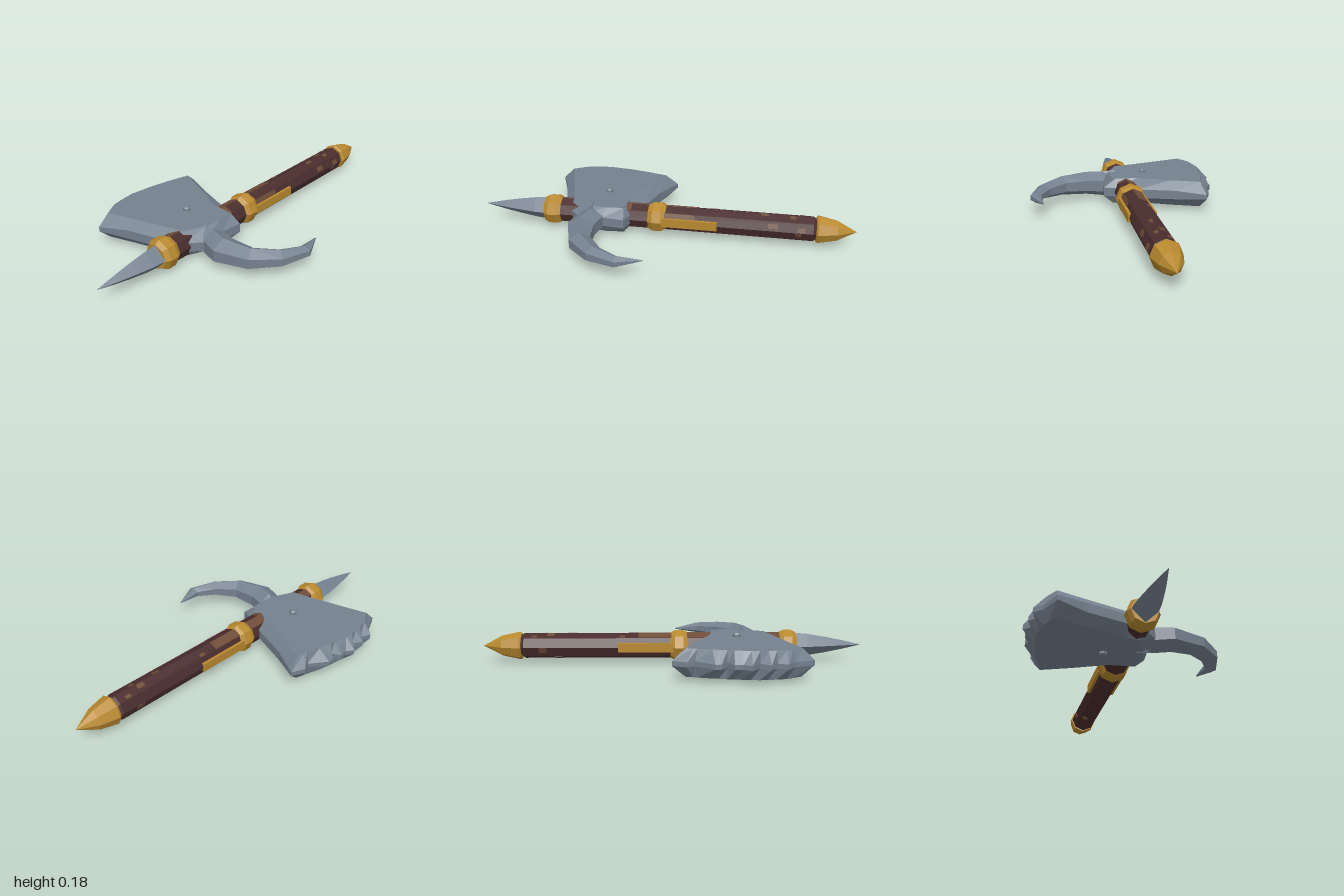
import * as THREE from 'three';

const AX = -0.01, AY = 0.095; // handle axis, running along z

const mat = (name, color) => {
  const m = new THREE.MeshStandardMaterial({ color });
  m.name = name;
  return m;
};

// split the faces so that every facet is flat
function faceted(geo) {
  const g = geo.index ? geo.toNonIndexed() : geo;
  g.computeVertexNormals();
  return g;
}

// skin through equal-length rings, closed by the given cap triangles
function loft(rings, cap) {
  const n = rings[0].length, last = (rings.length - 1) * n, index = [];
  for (let r = 0; r < rings.length - 1; r++) {
    for (let i = 0; i < n; i++) {
      const a = r * n + i, b = r * n + (i + 1) % n;
      index.push(a, b, b + n, a, b + n, a + n);
    }
  }
  for (const [a, b, c] of cap(rings)) {
    index.push(a + last, b + last, c + last);
  }
  for (const [a, b, c] of cap([rings[0]])) index.push(a, c, b);
  const g = new THREE.BufferGeometry();
  g.setAttribute('position', new THREE.Float32BufferAttribute(rings.flat(2), 3));
  g.setIndex(index);
  return faceted(g);
}

// turned part along the handle axis; profile is [radius, z] from back to front
function turned(profile, sides) {
  const g = new THREE.LatheGeometry(profile.map(p => new THREE.Vector2(...p)), sides);
  g.rotateX(Math.PI / 2);
  return faceted(g).translate(AX, AY, 0);
}

export function createModel() {
  const model = new THREE.Group();
  model.name = 'battleAxe';
  const steel = mat('steel', 0x75818f);
  const gold = mat('gold', 0xb8892f);
  const wood = mat('dark wood', 0x4a2d2d);
  const worn = mat('worn wood', 0x6e4c38);
  const add = (name, geo, material) => {
    const mesh = new THREE.Mesh(geo, material);
    mesh.name = name;
    model.add(mesh);
    return mesh;
  };

  // handle, pommel, collars and front spike
  add('handle', turned([[0, -0.81], [0.055, -0.81], [0.056, -0.795], [0.067, -0.78], [0.067, 0.62], [0, 0.62]], 8), wood);
  add('pommel', turned([[0, -1], [0.054, -0.9], [0.075, -0.805], [0.068, -0.795], [0, -0.795]], 8), gold);
  for (const [name, z] of [['rearCollar', 0.035], ['frontCollar', 0.605]]) {
    add(name, turned([[0, z - 0.048], [0.067, z - 0.048], [0.081, z - 0.024],
      [0.081, z + 0.02], [0.067, z + 0.045], [0, z + 0.045]], 8), gold);
  }
  add('frontSpike', turned([[0, 0.63], [0.064, 0.65], [0.059, 0.71], [0.044, 0.8], [0.026, 0.89], [0, 1]], 4), steel);

  // gold strips on both sides of the grip
  for (const s of [-1, 1]) {
    const strip = add(s > 0 ? 'leftStrip' : 'rightStrip', new THREE.BoxGeometry(0.024, 0.046, 0.29), gold);
    strip.position.set(AX + s * 0.061, AY, -0.142);
  }

  // worn patches: facet number, offset across facet, width, z start, z end
  const patches = [
    [2, 0, 0.05, -0.18, 0.0], [2, 0, 0.05, 0.07, 0.21], [2, 0, 0.05, 0.48, 0.57],
    [0, -0.012, 0.026, -0.17, 0.0], [1, 0, 0.05, 0.17, 0.21],
    [2, -0.01, 0.02, -0.74, -0.71], [2, 0.008, 0.026, -0.66, -0.62], [2, -0.013, 0.018, -0.28, -0.25],
    [1, -0.008, 0.022, -0.69, -0.66], [1, -0.016, 0.018, -0.55, -0.51],
    [0, 0, 0.026, -0.6, -0.55], [0, 0.01, 0.024, -0.74, -0.7], [7, -0.012, 0.024, -0.72, -0.69],
    [5, 0, 0.03, -0.62, -0.58], [4, 0.01, 0.024, -0.7, -0.66],
  ];
  for (const [k, t, w, z0, z1] of patches) {
    const a = (k + 0.5) * Math.PI / 4, r = 0.0625;
    const p = add('wornPatch', new THREE.BoxGeometry(w, 0.004, z1 - z0), worn);
    p.position.set(AX + r * Math.cos(a) + t * Math.sin(a), AY + r * Math.sin(a) - t * Math.cos(a), (z0 + z1) / 2);
    p.rotation.z = a - Math.PI / 2;
  }

  // axe blade: outer x, z and inner x, z; the first 15 rows form the chipped edge
  const outline = [
    [-0.42, -0.01, -0.40, 0.055], [-0.45, 0.06, -0.41, 0.09], [-0.43, 0.10, -0.415, 0.11],
    [-0.495, 0.19, -0.435, 0.18], [-0.495, 0.22, -0.44, 0.21], [-0.46, 0.25, -0.45, 0.25],
    [-0.505, 0.28, -0.455, 0.28], [-0.50, 0.32, -0.46, 0.32], [-0.525, 0.36, -0.465, 0.36],
    [-0.48, 0.40, -0.47, 0.40], [-0.51, 0.45, -0.465, 0.44], [-0.475, 0.48, -0.46, 0.48],
    [-0.50, 0.53, -0.45, 0.53], [-0.455, 0.57, -0.435, 0.56], [-0.41, 0.67, -0.405, 0.61],
    [-0.265, 0.61, -0.265, 0.565], [-0.06, 0.55, -0.06, 0.503], [0.03, 0.51, 0.01, 0.485],
    [0.10, 0.44, 0.055, 0.38], [0.10, 0.31, 0.07, 0.30], [0.113, 0.195, 0.06, 0.205],
    [0.05, 0.175, 0.045, 0.206], [-0.06, 0.125, -0.075, 0.195], [-0.265, 0.06, -0.25, 0.115],
  ];
  const bladeRing = (s, outer) => outline.map(([ox, oz, ix, iz], i) => outer
    ? [ox, AY + s * (i < 15 ? 0.012 : 0.024), oz]
    : [ix, AY + s * 0.07, iz]);
  const bladeCap = rings => THREE.ShapeUtils.triangulateShape(
    rings[0].map((_, i) => new THREE.Vector2(outline[i][2], -outline[i][3])), []);
  add('blade', loft([bladeRing(-1, false), bladeRing(-1, true), bladeRing(1, true), bladeRing(1, false)], bladeCap), steel);

  // curved back hook: inner x, z, outer x, z, half height
  const hook = [
    [0.025, 0.35, 0.025, 0.39, 0.076], [0.10, 0.31, 0.10, 0.44, 0.071],
    [0.19, 0.33, 0.19, 0.47, 0.066], [0.31, 0.32, 0.36, 0.415, 0.055],
    [0.405, 0.245, 0.47, 0.30, 0.043], [0.46, 0.15, 0.52, 0.15, 0.03],
    [0.455, 0.025, 0.46, 0.023, 0.003],
  ].map(([ix, iz, ox, oz, h]) => {
    const e = h * 0.45, mx = (ix + ox) / 2, mz = (iz + oz) / 2;
    return [[ix, AY - e, iz], [ix, AY + e, iz], [mx, AY + h, mz],
      [ox, AY + e, oz], [ox, AY - e, oz], [mx, AY - h, mz]];
  });
  add('backHook', loft(hook, () => [[0, 1, 2], [0, 2, 3], [0, 3, 4], [0, 4, 5]]), steel);

  // rivet through the blade
  const rivet = new THREE.LatheGeometry([[0, -0.09], [0.014, -0.09], [0.021, -0.082], [0.021, 0.082],
    [0.014, 0.09], [0, 0.09]].map(p => new THREE.Vector2(...p)), 6);
  add('rivet', faceted(rivet), steel).position.set(-0.13, AY, 0.325);

  return model;
}
